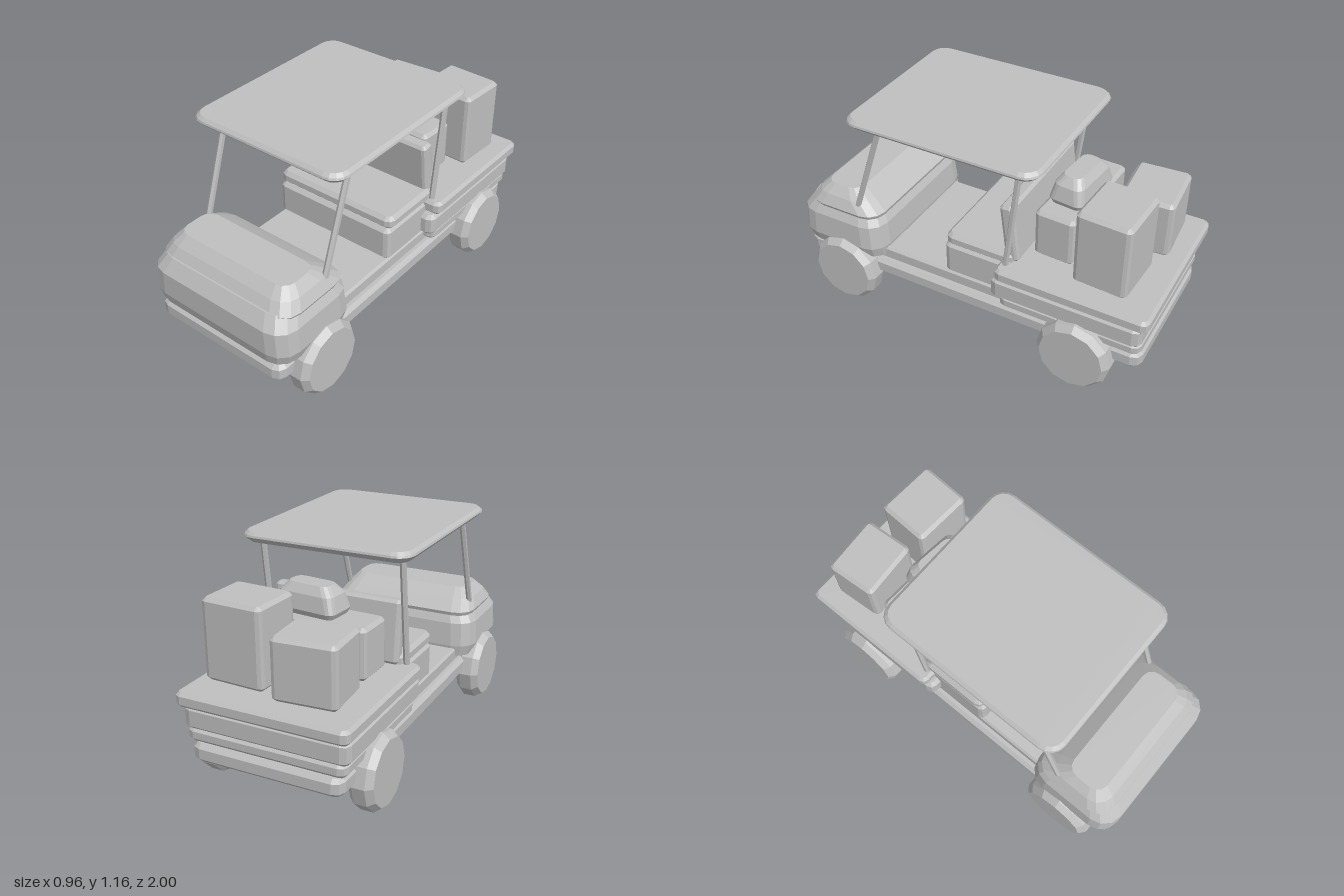
import * as THREE from 'three';

const body = new THREE.MeshStandardMaterial({ color: 0xbfbfbf, flatShading: true });
body.name = 'plain grey';

// Stack of rounded rectangles: each layer is [y, halfX, zMin, zMax, cornerRadius]
function loft(layers, seg = 2) {
  const rings = layers.map(([y, hx, z0, z1, r]) => {
    const pts = [];
    const zc = (z0 + z1) / 2, hz = (z1 - z0) / 2;
    [[1, 1], [-1, 1], [-1, -1], [1, -1]].forEach(([sx, sz], q) => {
      for (let i = 0; i <= seg; i++) {
        const a = (q + i / seg) * Math.PI / 2;
        pts.push([sx * (hx - r) + r * Math.cos(a), y, zc + sz * (hz - r) + r * Math.sin(a)]);
      }
    });
    return pts;
  });
  const v = [];
  const n = rings[0].length;
  const tri = (a, b, c) => v.push(...a, ...b, ...c);
  for (let k = 0; k < rings.length - 1; k++) {
    for (let i = 0; i < n; i++) {
      const j = (i + 1) % n, p = rings[k], q = rings[k + 1];
      tri(p[i], q[i], p[j]);
      tri(p[j], q[i], q[j]);
    }
  }
  const lo = rings[0], hi = rings[rings.length - 1];
  for (let i = 1; i < n - 1; i++) {
    tri(lo[0], lo[i], lo[i + 1]);
    tri(hi[0], hi[i + 1], hi[i]);
  }
  const g = new THREE.BufferGeometry();
  g.setAttribute('position', new THREE.Float32BufferAttribute(v, 3));
  g.computeVertexNormals();
  return g;
}

// Box with bevelled edges
function slab(hx, y0, y1, z0, z1, b = 0.02, r = 0.03) {
  const s = Math.max(r - b, 0.006);
  return loft([
    [y0, hx - b, z0 + b, z1 - b, s],
    [y0 + b, hx, z0, z1, r],
    [y1 - b, hx, z0, z1, r],
    [y1, hx - b, z0 + b, z1 - b, s],
  ]);
}

export function createModel() {
  const group = new THREE.Group();
  const add = (name, geo) => {
    const m = new THREE.Mesh(geo, body);
    m.name = name;
    group.add(m);
    return m;
  };

  // Underbody and floor
  add('chassis', slab(0.395, 0.2, 0.292, -0.968, 0.985, 0.02, 0.05));
  add('floor', slab(0.355, 0.28, 0.356, -0.3, 0.9, 0.012, 0.03));

  // Front cowl in two overlapping shells
  add('lowerHood', loft([
    [0.31, 0.42, 0.49, 0.985, 0.1],
    [0.37, 0.44, 0.483, 1.0, 0.11],
    [0.5, 0.432, 0.495, 0.998, 0.11],
    [0.57, 0.395, 0.53, 0.95, 0.1],
  ], 3));
  add('upperHood', loft([
    [0.525, 0.4, 0.52, 0.93, 0.09],
    [0.56, 0.415, 0.51, 0.948, 0.1],
    [0.615, 0.385, 0.585, 0.91, 0.09],
    [0.662, 0.34, 0.655, 0.858, 0.06],
  ], 3));

  // Rear body and cargo deck
  add('rearSkirt', slab(0.415, 0.3, 0.375, -0.965, -0.21, 0.02, 0.04));
  add('rearBody', slab(0.428, 0.36, 0.48, -0.965, -0.168, 0.02, 0.04));
  add('cargoDeck', slab(0.445, 0.483, 0.556, -1.0, -0.2, 0.016, 0.035));

  // Seat
  add('seatBase', slab(0.36, 0.35, 0.54, -0.27, 0.125, 0.02, 0.03));
  add('seatCushion', slab(0.365, 0.535, 0.607, -0.27, 0.115, 0.02, 0.04));
  const back = add('seatBack', slab(0.347, -0.16, 0.16, -0.037, 0.037, 0.015, 0.02));
  back.position.set(0, 0.715, -0.237);
  back.rotation.x = 0.115;

  // Roof
  add('roof', loft([
    [1.108, 0.42, -0.388, 0.6, 0.06],
    [1.138, 0.45, -0.42, 0.63, 0.085],
    [1.148, 0.447, -0.417, 0.627, 0.085],
    [1.163, 0.43, -0.4, 0.61, 0.07],
  ], 4));

  // Roof posts
  const post = (name, x, y0, z0, y1, z1) => {
    const d = new THREE.Vector3(0, y1 - y0, z1 - z0);
    const m = add(name, new THREE.CylinderGeometry(0.016, 0.016, d.length(), 6));
    m.position.set(x, (y0 + y1) / 2, (z0 + z1) / 2);
    m.quaternion.setFromUnitVectors(new THREE.Vector3(0, 1, 0), d.normalize());
  };

  // Wheels
  const wheelGeo = new THREE.LatheGeometry([
    [0, -0.064], [0.168, -0.064], [0.195, -0.035],
    [0.195, 0.03], [0.168, 0.064], [0, 0.064],
  ].map(([r, y]) => new THREE.Vector2(r, y)), 12);

  for (const [side, s] of [['left', 1], ['right', -1]]) {
    post(side + 'FrontPost', s * 0.375, 0.6, 0.633, 1.125, 0.452);
    post(side + 'RearPost', s * 0.375, 0.54, -0.235, 1.125, -0.307);
    for (const [end, z] of [['Front', 0.708], ['Rear', -0.646]]) {
      const w = add(side + end + 'Wheel', wheelGeo);
      w.rotation.z = -s * Math.PI / 2;
      w.position.set(s * 0.414, 0.197, z);
    }
  }

  // Cargo: [name, x, z, halfX, halfZ, top, turn]
  for (const [name, x, z, hx, hz, top, turn] of [
    ['tallBox', 0.2, -0.722, 0.16, 0.14, 0.978, -0.05],
    ['mediumBox', -0.173, -0.77, 0.161, 0.137, 0.88, 0.07],
    ['longBox', -0.027, -0.445, 0.288, 0.107, 0.835, -0.045],
  ]) {
    const m = add(name, slab(hx, 0.574, top, -hz, hz, 0.018, 0.025));
    m.position.set(x, 0, z);
    m.rotation.y = turn;
  }
  const bag = add('bag', loft([
    [0.843, 0.155, -0.08, 0.08, 0.03],
    [0.87, 0.168, -0.092, 0.092, 0.035],
    [0.945, 0.148, -0.078, 0.078, 0.04],
    [0.986, 0.11, -0.05, 0.05, 0.035],
  ], 3));
  bag.position.set(0.015, 0, -0.458);
  bag.rotation.y = -0.1;

  return group;
}
